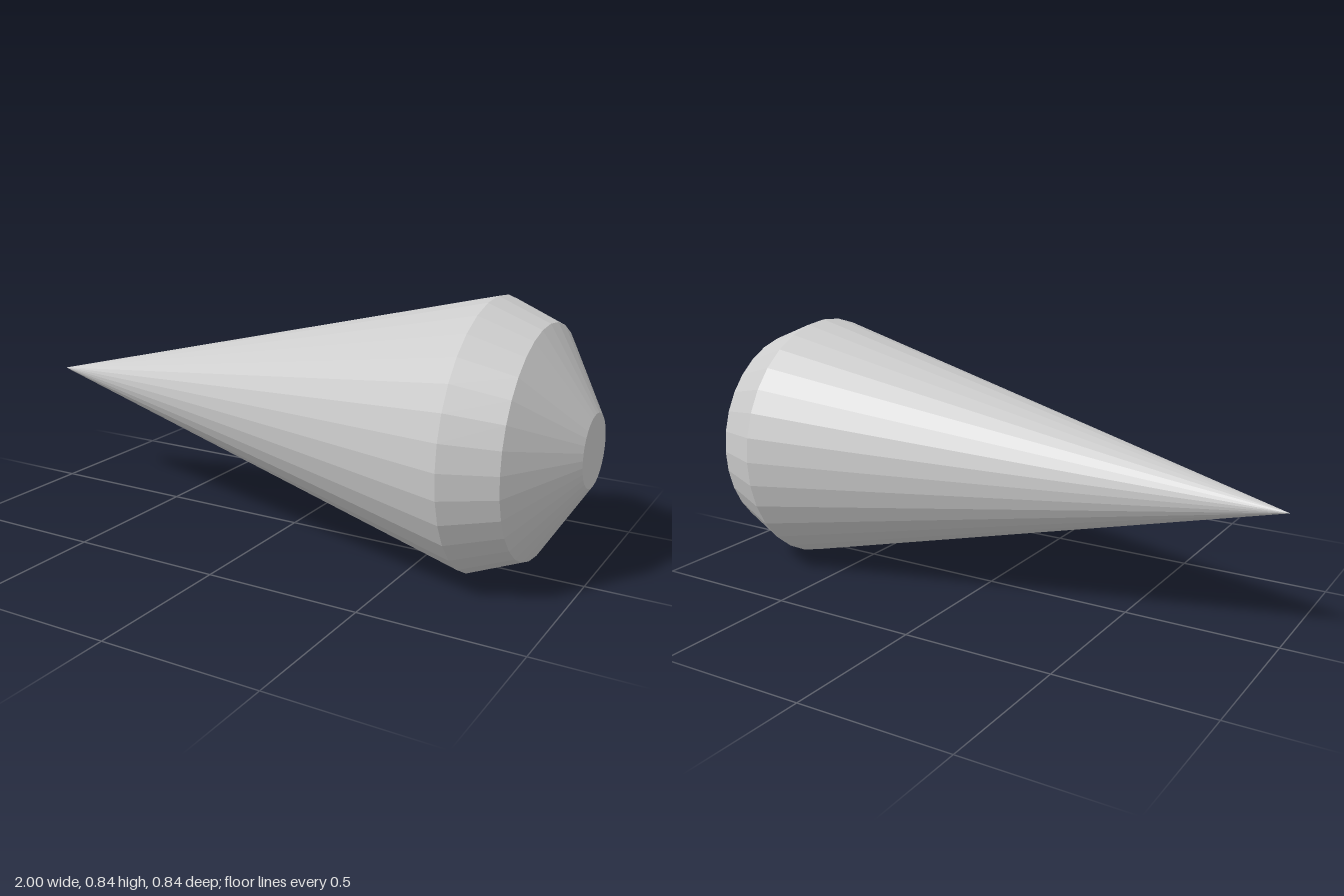
import * as THREE from 'three';

const SIDES = 32;
const RADIUS = 0.421;

// Faceted solid of revolution lying along the x axis; profile is [x, radius] pairs
function turned(name, profile, material) {
  const points = profile.map(([x, r]) => new THREE.Vector2(r, x));
  const geometry = new THREE.LatheGeometry(points, SIDES);
  geometry.rotateZ(-Math.PI / 2);
  const mesh = new THREE.Mesh(geometry, material);
  mesh.name = name;
  return mesh;
}

export function createModel() {
  const group = new THREE.Group();
  group.name = 'pointedCone';
  const material = new THREE.MeshStandardMaterial({ color: 0xcccccc, flatShading: true });

  // Long taper from the tip to the widest ring
  const cone = turned('cone', [[-1, 0], [0.69, RADIUS]], material);
  // Bevelled rim, shallow dome and flat end
  const rim = turned('rim', [[0.69, RADIUS], [0.85, 0.355]], material);
  const dome = turned('dome', [[0.85, 0.355], [1, 0.111]], material);
  const endCap = turned('endCap', [[1, 0.111], [1, 0]], material);

  group.add(cone, rim, dome, endCap);
  for (const part of group.children) part.position.y = RADIUS;
  return group;
}
